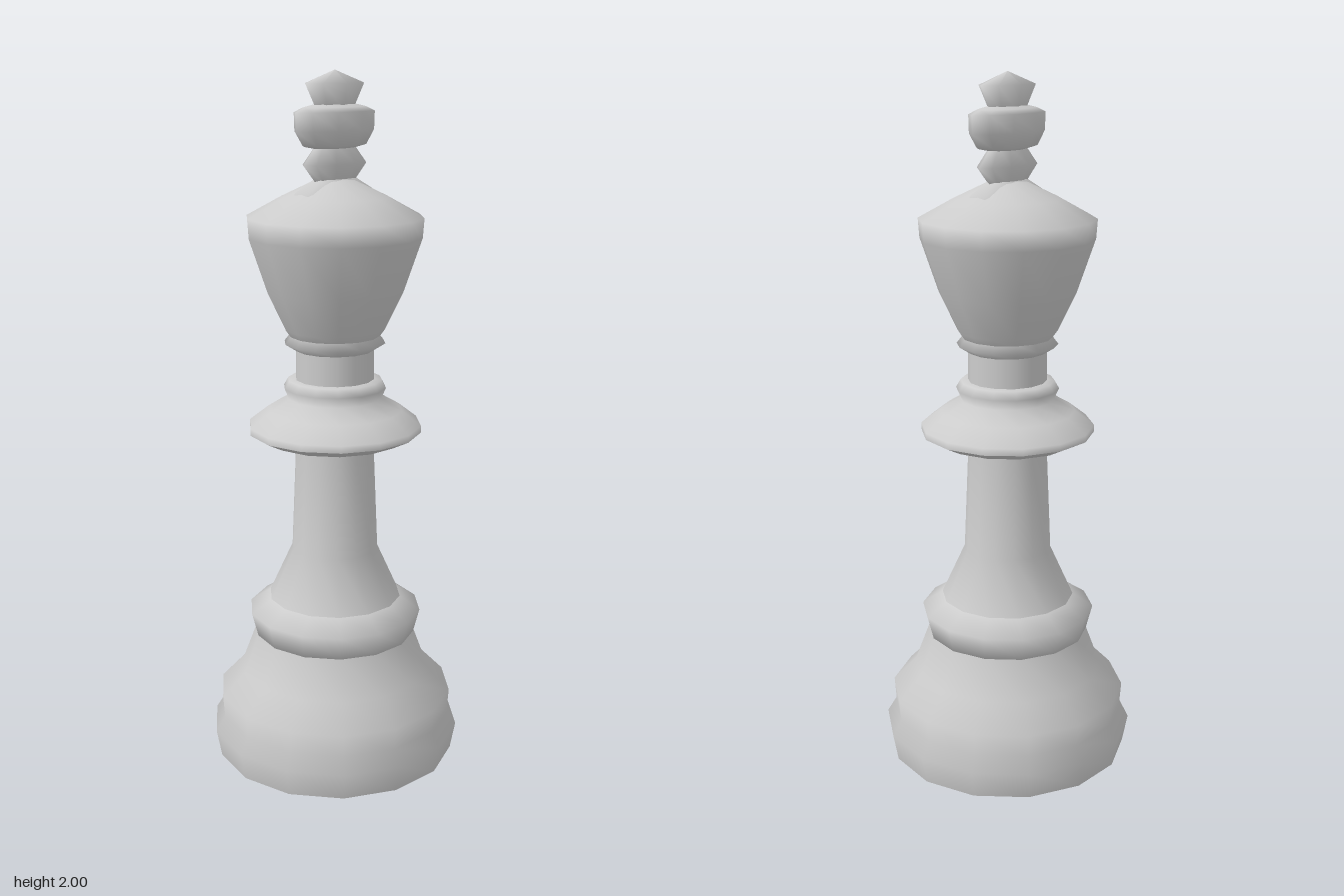
import * as THREE from 'three';

const material = new THREE.MeshStandardMaterial({ color: 0xcccccc });

// Turned section from [radius, height] pairs, listed bottom to top; depth flattens it in z.
function turned(name, profile, sides = 14, depth = 1, start = Math.PI / 2) {
  const points = profile.map(([r, y]) => new THREE.Vector2(r, y));
  const geometry = new THREE.LatheGeometry(points, sides, start);
  geometry.scale(1, 1, depth);
  const mesh = new THREE.Mesh(geometry, material);
  mesh.name = name;
  return mesh;
}

export function createModel() {
  const king = new THREE.Group();
  king.name = 'chessKing';

  // Flat underside and stepped base
  king.add(turned('underside', [[0, 0], [0.355, 0]]));
  king.add(turned('base', [
    [0.355, 0], [0.37, 0.08], [0.343, 0.125], [0.348, 0.19], [0.28, 0.26], [0.237, 0.375],
  ]));

  // Foot ring flowing into the tapering stem
  king.add(turned('footRing', [[0.2, 0.372], [0.237, 0.375], [0.255, 0.445], [0.195, 0.485]]));
  king.add(turned('stem', [[0.195, 0.485], [0.127, 0.635], [0.113, 0.97]]));

  // Wide collar with a small ring on top
  king.add(turned('collarUnderside', [[0.1, 0.955], [0.2, 0.967], [0.25, 0.992]]));
  king.add(turned('collar', [
    [0.25, 0.992], [0.25, 1.012], [0.195, 1.055], [0.135, 1.09], [0.148, 1.12], [0.135, 1.143], [0.105, 1.145],
  ]));

  // Neck and its upper bead
  king.add(turned('neck', [[0.113, 1.14], [0.112, 1.24]]));
  king.add(turned('neckBead', [[0.11, 1.228], [0.145, 1.25], [0.128, 1.272], [0.143, 1.29]]));

  // Flared head and its sloping crown
  king.add(turned('head', [
    [0.125, 1.265], [0.143, 1.29], [0.195, 1.4], [0.246, 1.55], [0.25, 1.605],
    [0.15, 1.66], [0.055, 1.705], [0, 1.715],
  ]));

  // Flattened finial: foot, waist bead, crossbar and tip
  const finial = new THREE.Group();
  finial.name = 'finial';
  finial.add(
    turned('finialFoot', [[0.145, 1.64], [0.132, 1.675], [0.07, 1.71]], 8, 0.55, Math.PI / 8),
    turned('finialBead', [[0.07, 1.70], [0.115, 1.75], [0.07, 1.80]], 10, 0.42),
    turned('crossbar', [
      [0.06, 1.79], [0.112, 1.80], [0.14, 1.84], [0.142, 1.89], [0.11, 1.902], [0.06, 1.912],
    ], 10, 0.46),
    turned('finialTip', [[0.07, 1.90], [0.107, 1.965], [0, 2.0]], 8, 0.48),
  );
  king.add(finial);

  return king;
}
